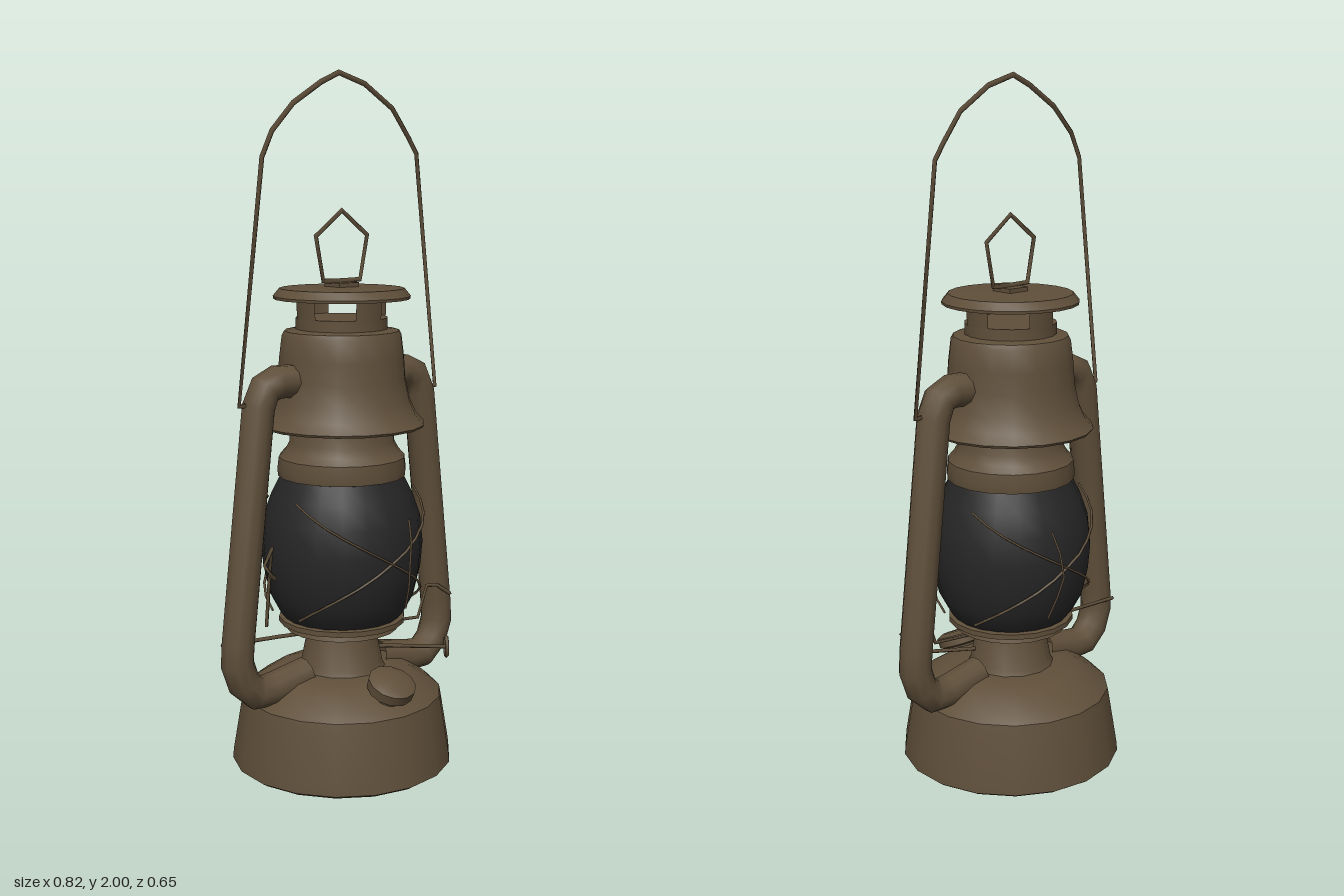
import * as THREE from 'three';
import { toCreasedNormals } from 'three/addons/utils/BufferGeometryUtils.js';

// Polyline path whose samples fall on its corners, giving mitred bends
class Polyline extends THREE.Curve {
  constructor(points) {
    super();
    this.points = points.map((p) => new THREE.Vector3(...p));
  }
  getPoint(t, target = new THREE.Vector3()) {
    const n = this.points.length - 1;
    const i = Math.min(Math.floor(t * n + 1e-6), n - 1);
    return target.lerpVectors(this.points[i], this.points[i + 1], t * n - i);
  }
  getPointAt(t, target) { return this.getPoint(t, target); }
  getTangentAt(t, target = new THREE.Vector3()) {
    const p = this.points, n = p.length - 1, i = Math.round(t * n);
    const before = p[i].clone().sub(p[Math.max(i - 1, 0)]).normalize();
    const after = p[Math.min(i + 1, n)].clone().sub(p[i]).normalize();
    return target.copy(before.add(after)).normalize();
  }
}

export function createModel() {
  const lantern = new THREE.Group();
  lantern.name = 'lantern';
  const metal = new THREE.MeshStandardMaterial({ color: 0x5f4f3a, side: THREE.DoubleSide });
  metal.name = 'brown metal';
  const glass = new THREE.MeshStandardMaterial({ color: 0x262627 });
  glass.name = 'dark glass';

  const add = (name, geometry, material = metal) => {
    const mesh = new THREE.Mesh(geometry, material);
    mesh.name = name;
    lantern.add(mesh);
    return mesh;
  };
  const turned = (name, profile, material, sides = 18) => add(name, toCreasedNormals(
    new THREE.LatheGeometry(profile.map(([r, y]) => new THREE.Vector2(r, y)), sides), 0.6), material);
  const wire = (name, points, radius = 0.006, sides = 4) => add(name,
    new THREE.TubeGeometry(new Polyline(points), points.length - 1, radius, sides));

  // Fuel tank and burner
  turned('fuelTank', [[0, 0.015], [0.3, 0.015], [0.31, 0], [0.325, 0.01], [0.322, 0.04], [0.297, 0.19],
    [0.293, 0.21], [0.27, 0.23], [0.2, 0.275], [0.15, 0.285], [0, 0.285]]);
  turned('burner', [[0.13, 0.28], [0.12, 0.3], [0.1, 0.4], [0.12, 0.41]], metal, 14);

  // Globe seat, glass globe and collar
  turned('globeSeat', [[0.1, 0.39], [0.165, 0.405], [0.16, 0.42], [0.185, 0.425], [0.185, 0.44], [0.15, 0.445]]);
  const globe = [[0.16, 0.43], [0.185, 0.46], [0.212, 0.51], [0.23, 0.59], [0.236, 0.66],
    [0.228, 0.74], [0.205, 0.805], [0.175, 0.865]];
  turned('globe', globe, glass, 20);
  turned('globeCollar', [[0.165, 0.855], [0.185, 0.86], [0.187, 0.88], [0.183, 0.915], [0.165, 0.935],
    [0.152, 0.96], [0.15, 1.02]]);

  // Hood, vented chimney and cap
  turned('hood', [[0.14, 1.02], [0.236, 1.005], [0.24, 1.012], [0.215, 1.04], [0.197, 1.08], [0.184, 1.14],
    [0.18, 1.2], [0.172, 1.265], [0.165, 1.278], [0.12, 1.285]]);
  turned('chimneyNeck', [[0.132, 1.275], [0.132, 1.315], [0, 1.315]]);
  for (let i = 0; i < 4; i++) {
    add('chimneyPost', new THREE.CylinderGeometry(0.135, 0.132, 0.075, 4, 1, true, i * Math.PI / 2 - 0.34, 0.68))
      .position.y = 1.35;
  }
  turned('chimneyCap', [[0, 1.37], [0.15, 1.37], [0.195, 1.368], [0.196, 1.376], [0.178, 1.398], [0, 1.403]], metal, 20);

  // Lifting ring and its bracket
  add('ringBracket', new THREE.BoxGeometry(0.07, 0.014, 0.07)).position.y = 1.407;
  wire('liftingRing', [[0, 1.417, 0], [0.065, 1.42, 0], [0.09, 1.545, 0], [0, 1.615, 0],
    [-0.09, 1.545, 0], [-0.065, 1.42, 0], [0, 1.417, 0]], 0.008);

  // Side air tubes
  for (const s of [-1, 1]) {
    wire('sideTube', [[0.16, 1.145, 0], [0.225, 1.147, 0], [0.265, 1.13, 0], [0.287, 1.08, 0],
      [0.362, 0.42, 0], [0.366, 0.36, 0], [0.345, 0.3, 0], [0.305, 0.262, 0], [0.25, 0.262, 0],
      [0.13, 0.285, 0]].map(([x, y, z]) => [s * x, y, z]), 0.048, 10);
  }

  // Carrying bail
  wire('bail', [[-0.31, 1.09, 0], [-0.35, 1.09, 0], [-0.268, 1.76, 0], [-0.235, 1.83, 0], [-0.165, 1.905, 0],
    [-0.07, 1.965, 0], [-0.01, 1.992, 0], [0.08, 1.965, 0], [0.18, 1.9, 0], [0.24, 1.82, 0],
    [0.27, 1.775, 0], [0.35, 1.09, 0], [0.31, 1.09, 0]], 0.008);

  // Crossed guard wires following the globe
  const globeRadius = (y) => {
    const i = Math.max(1, globe.findIndex((p) => p[1] >= y));
    const [a, b] = [globe[i - 1], globe[i]];
    return a[0] + (b[0] - a[0]) * (y - a[1]) / (b[1] - a[1]);
  };
  for (const facing of [0, Math.PI]) {
    for (const s of [-1, 1]) {
      const points = [];
      for (let i = 0; i <= 12; i++) {
        const t = i / 6 - 1, y = 0.64 + 0.17 * t, angle = facing + s * t * 1.25;
        const r = globeRadius(y) + 0.002 + 0.018 * Math.abs(t);
        points.push([r * Math.sin(angle), y, r * Math.cos(angle)]);
      }
      wire('guardWire', points, 0.004);
    }
    // Bowed wire standing clear of the globe
    const side = facing ? -1 : 1;
    wire('guardBow', [[0.06, 0.76, 0.235 * side], [0.05, 0.7, 0.258 * side], [0.04, 0.63, 0.265 * side],
      [0.05, 0.57, 0.25 * side], [0.06, 0.5, 0.222 * side]], 0.004);
  }

  // Globe lifter, side catch and lever
  wire('globeLifter', [[-0.38, 0.4, -0.06], [-0.2, 0.397, -0.04], [0.25, 0.395, 0.05], [0.28, 0.49, 0.055],
    [0.32, 0.485, 0.055], [0.37, 0.45, 0.06]]);
  wire('sideCatch', [[-0.3, 0.47, 0.05], [-0.295, 0.62, 0.06], [-0.3, 0.7, 0.08], [-0.335, 0.66, 0.095],
    [-0.31, 0.62, 0.11], [-0.295, 0.62, 0.06]]);

  // Wick knob on its spindle
  wire('wickSpindle', [[0.09, 0.335, 0.04], [0.27, 0.33, 0.17]]);
  const knob = add('wickKnob', new THREE.TorusGeometry(0.03, 0.006, 4, 8));
  knob.position.set(0.265, 0.33, 0.165);
  knob.rotation.y = 0.95;

  // Tilted filler cap
  const cap = turned('fillerCap', [[0.045, -0.05], [0.05, 0], [0.068, 0.005], [0.07, 0.035], [0.05, 0.045], [0, 0.047]], metal, 12);
  cap.position.set(0, 0.265, 0.225);
  cap.rotation.x = 0.42;
  return lantern;
}
